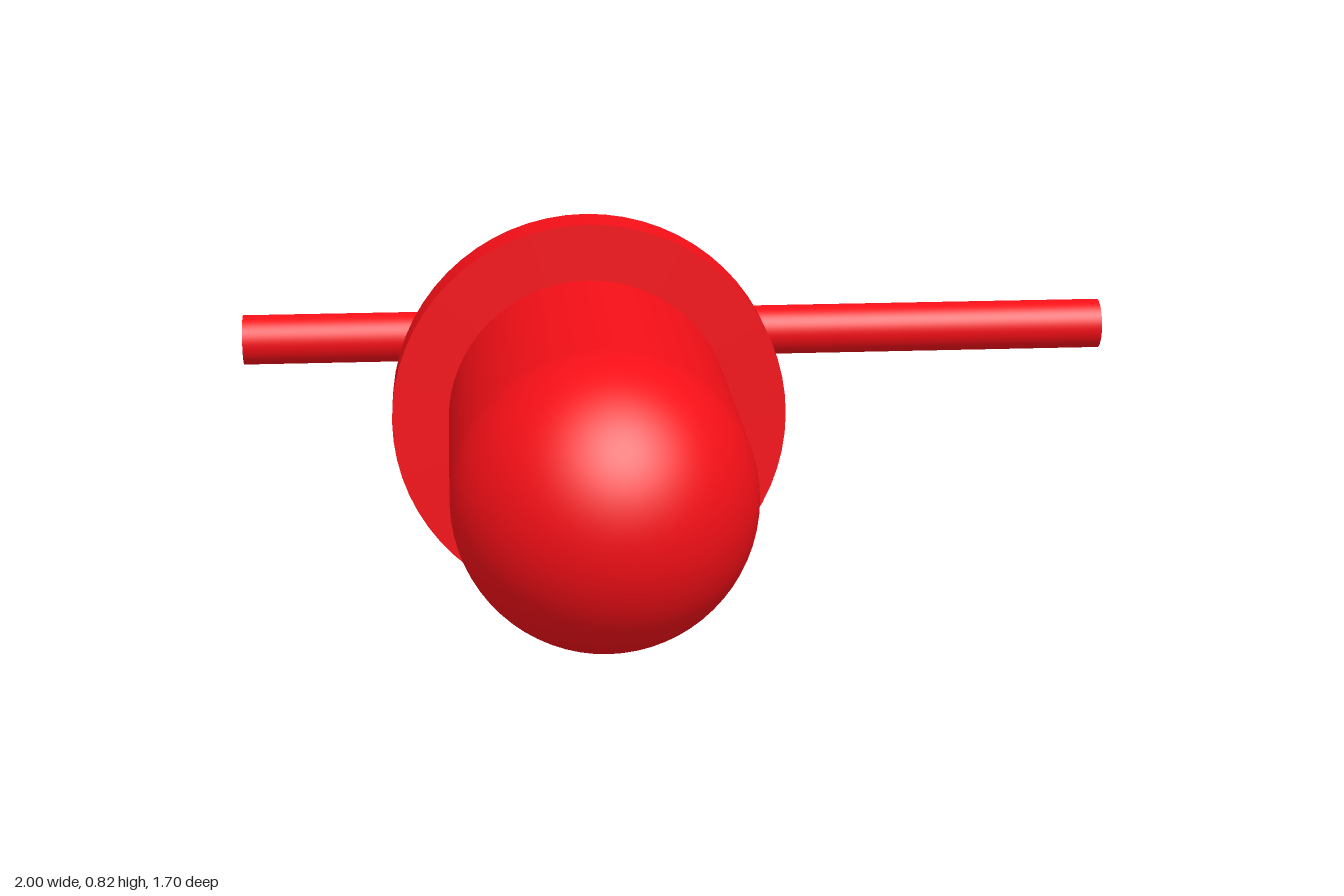
import * as THREE from 'three';

const CX = -0.237, CY = 0.41;      // bulb axis
const R = 0.057, BEND_Z = -0.793;  // lead radius and bend position
const BACK = -0.145, FRONT = -0.03, BULB_R = 0.293, DOME_Z = 0.557;

export function createModel() {
  const model = new THREE.Group();
  const red = new THREE.MeshStandardMaterial({ color: 0xf50f17 });

  const add = (parent, name, geometry) => {
    const mesh = new THREE.Mesh(geometry, red);
    mesh.name = name;
    parent.add(mesh);
    return mesh;
  };
  // cylinder along z between two depths
  const rod = (r, z0, z1, open) =>
    new THREE.CylinderGeometry(r, r, z1 - z0, 64, 1, open)
      .rotateX(Math.PI / 2).translate(0, 0, (z0 + z1) / 2);

  // bulb: straight body with a hemispherical dome, on a flat flange
  const bulb = new THREE.Group();
  bulb.name = 'bulb';
  bulb.position.set(CX, CY, 0);
  add(bulb, 'bulbBody', rod(BULB_R, FRONT, DOME_Z, true));
  add(bulb, 'bulbDome', new THREE.SphereGeometry(BULB_R, 64, 24, 0, Math.PI * 2, 0, Math.PI / 2)
    .rotateX(Math.PI / 2).translate(0, 0, DOME_Z));
  add(bulb, 'flange', rod(0.41, BACK, FRONT, false));
  model.add(bulb);

  // leads: each runs back from the flange, then turns outward at a mitred corner
  for (const side of [-1, 1]) {
    const x = CX + side * 0.235;
    const length = 1 - side * x;
    const lead = new THREE.Group();
    lead.name = side > 0 ? 'leftLead' : 'rightLead';
    lead.position.set(x, CY, BEND_Z);

    const shank = rod(R, 0, BACK - BEND_Z, true);
    const arm = new THREE.CylinderGeometry(R, R, length, 64, 1, true)
      .translate(0, length / 2, 0).rotateZ(-side * Math.PI / 2);

    // slide the bend ends onto the shared diagonal plane z = side * x
    const s = shank.attributes.position, a = arm.attributes.position;
    for (let i = 0; i < s.count; i++) {
      if (s.getZ(i) < 0.1) s.setZ(i, side * s.getX(i));
      if (Math.abs(a.getX(i)) < 0.1) a.setX(i, side * a.getZ(i));
    }
    add(lead, 'shank', shank);
    add(lead, 'arm', arm);
    add(lead, 'armEnd', new THREE.CircleGeometry(R, 64)
      .rotateY(side * Math.PI / 2).translate(side * length, 0, 0));
    model.add(lead);
  }
  return model;
}
